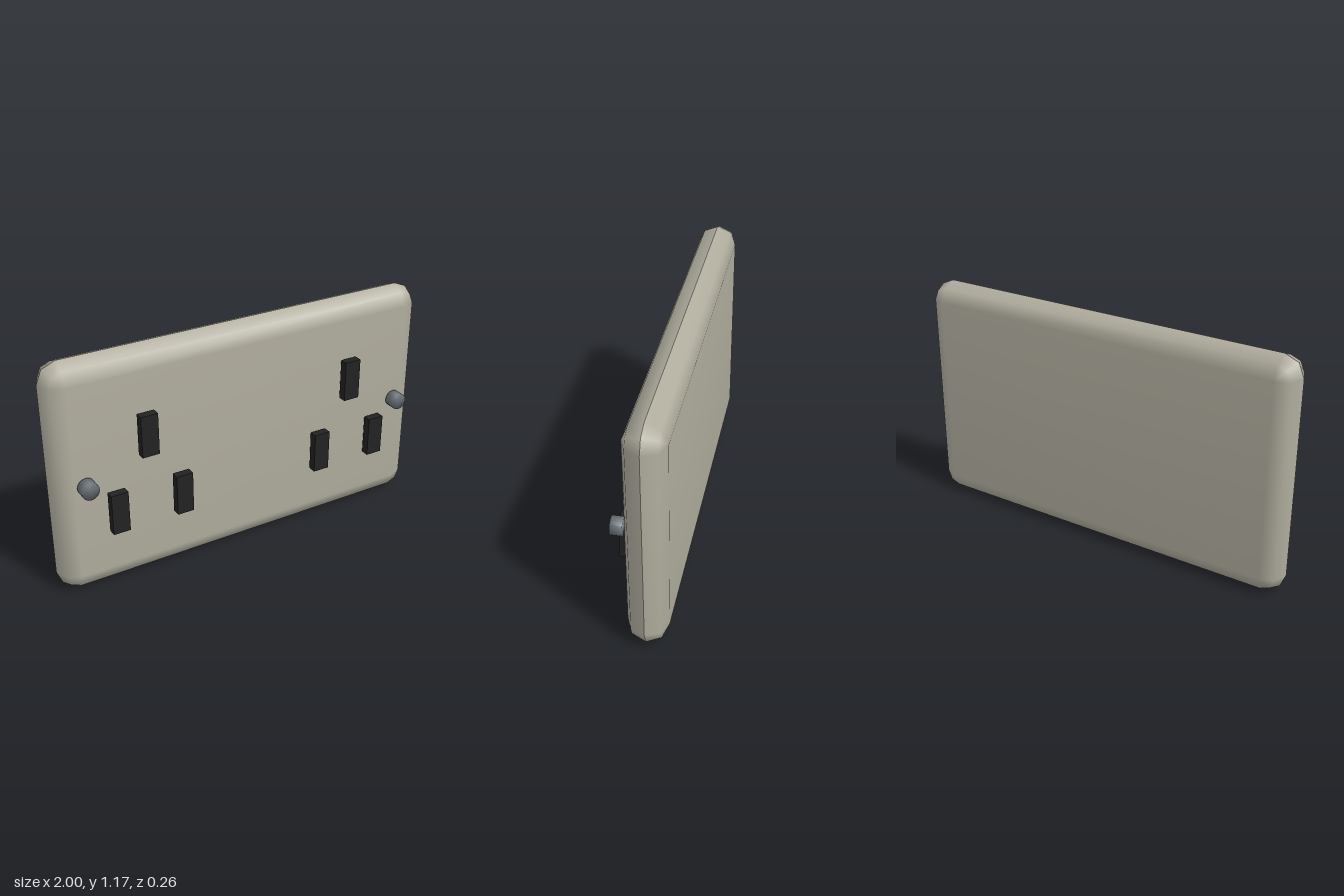
import * as THREE from 'three';
import { mergeVertices } from 'three/addons/utils/BufferGeometryUtils.js';

const HEIGHT = 1.174, RADIUS = 0.096, MID_Y = HEIGHT / 2, PLATE_Z = -0.034;

// Share normals across all touching faces
function smooth(geometry) {
  geometry.deleteAttribute('normal');
  geometry.deleteAttribute('uv');
  const merged = mergeVertices(geometry, 1e-5);
  merged.computeVertexNormals();
  return merged;
}

// Half of a plate with rounded rim: rings from the seam inwards, then a flat face
function halfPlate() {
  const cx = 1 - RADIUS, cy = MID_Y - RADIUS;
  const corners = [[1, 1], [-1, 1], [-1, -1], [1, -1]];
  const rings = [0, 1, 2].map((k) => {
    const tilt = k * Math.PI / 4;
    const r = RADIUS * Math.cos(tilt), z = RADIUS * Math.sin(tilt);
    const ring = [];
    corners.forEach(([sx, sy], c) => {
      for (let s = 0; s <= 2; s++) {
        const a = c * Math.PI / 2 + s * Math.PI / 4;
        ring.push([sx * cx + r * Math.cos(a), sy * cy + r * Math.sin(a), z]);
      }
    });
    return ring;
  });
  rings.push(rings[0].map(() => [0, 0, RADIUS]));

  const positions = [], n = rings[0].length;
  for (let k = 0; k < rings.length - 1; k++) {
    for (let j = 0; j < n; j++) {
      const i = (j + 1) % n, a = rings[k], b = rings[k + 1];
      positions.push(...a[j], ...a[i], ...b[i], ...a[j], ...b[i], ...b[j]);
    }
  }
  const geometry = new THREE.BufferGeometry();
  geometry.setAttribute('position', new THREE.Float32BufferAttribute(positions, 3));
  return smooth(geometry);
}

export function createModel() {
  const plastic = new THREE.MeshStandardMaterial({ name: 'warm grey plastic', color: 0xb0ad9e });
  const black = new THREE.MeshStandardMaterial({ name: 'black slot', color: 0x222222 });
  const steel = new THREE.MeshStandardMaterial({ name: 'steel', color: 0x666e74 });

  const model = new THREE.Group();
  model.name = 'doubleSocket';
  const add = (name, geometry, material, x, y, z) => {
    const mesh = new THREE.Mesh(geometry, material);
    mesh.name = name;
    mesh.position.set(x, y, z);
    model.add(mesh);
    return mesh;
  };

  // Face plate, two halves meeting at a crisp seam
  const half = halfPlate();
  add('plateFront', half, plastic, 0, MID_Y, PLATE_Z);
  add('plateBack', half, plastic, 0, MID_Y, PLATE_Z).rotation.y = Math.PI;

  // Three slots and one screw on each side
  const slot = new THREE.BoxGeometry(0.085, 0.207, 0.042);
  const screw = smooth(new THREE.CylinderGeometry(0.043, 0.043, 0.055, 16).rotateX(Math.PI / 2));
  for (const [side, s] of [['left', 1], ['right', -1]]) {
    add(side + 'EarthSlot', slot, black, s * 0.553, 0.783, 0.105);
    add(side + 'OuterSlot', slot, black, s * 0.718, 0.424, 0.105);
    add(side + 'InnerSlot', slot, black, s * 0.387, 0.424, 0.105);
    add(side + 'Screw', screw, steel, s * 0.856, MID_Y, 0.103);
  }
  return model;
}
